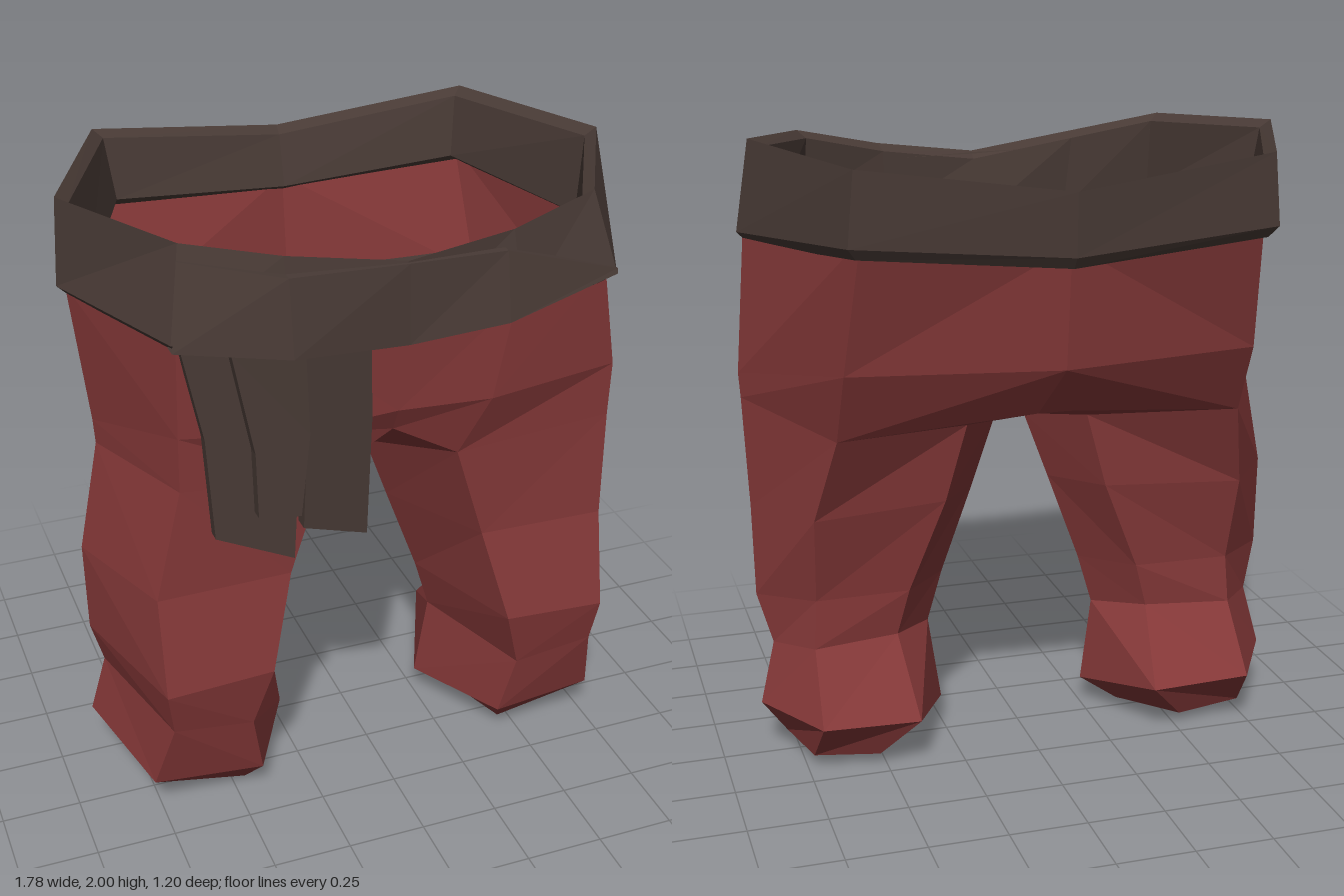
import * as THREE from 'three';

const cloth = new THREE.MeshStandardMaterial({ color: 0x843838, flatShading: true, side: THREE.DoubleSide });
const sash = new THREE.MeshStandardMaterial({ color: 0x483a35, flatShading: true, side: THREE.DoubleSide });

// Collects triangles and turns them into a faceted mesh
class Facets {
  constructor() { this.pos = []; }
  tri(a, b, c, flip = false) {
    for (const p of flip ? [a, c, b] : [a, b, c]) this.pos.push(...p);
  }
  // Strip between an upper and a lower row of points, running to the right as seen from outside
  strip(up, low, closed = false, flip = false) {
    const n = up.length;
    for (let i = 0; i < (closed ? n : n - 1); i++) {
      const j = (i + 1) % n;
      this.tri(low[i], low[j], up[j], flip);
      this.tri(low[i], up[j], up[i], flip);
    }
  }
  mesh(name, material) {
    const g = new THREE.BufferGeometry();
    g.setAttribute('position', new THREE.Float32BufferAttribute(this.pos, 3));
    g.computeVertexNormals();
    const m = new THREE.Mesh(g, material);
    m.name = name;
    return m;
  }
}

// Left half of the hips: front centre, front, front corner, side, back corner, back centre
const waist = [[0, 1.65, 0.5], [0.36, 1.68, 0.5], [0.66, 1.73, 0.47], [0.855, 1.73, 0.05], [0.61, 1.78, -0.52], [0, 1.74, -0.55]];
const hip = [[0, 1.37, 0.48], [0.3, 1.36, 0.49], [0.73, 1.38, 0.44], [0.89, 1.28, 0.05], [0.645, 1.36, -0.4], [0, 1.36, -0.51]];
const frontSeam = [0, 1.29, 0.44], backSeam = [0.05, 1.2, -0.39], backMid = [0, 1.2, -0.39];

// Leg rings, thigh to hem: front inner, front outer, outer, back outer, back inner, inner
const legRings = [
  [[0.22, 1.16, 0.43], [0.73, 1.2, 0.43], [0.885, 1.2, 0.05], [0.65, 1.13, -0.29], [0.2, 1.1, -0.12], [0.05, 1.06, 0.09]],
  [[0.32, 0.84, 0.42], [0.73, 0.84, 0.43], [0.87, 0.84, 0.05], [0.71, 0.85, -0.19], [0.27, 0.85, -0.11], [0.13, 0.84, 0.08]],
  [[0.4, 0.53, 0.48], [0.73, 0.52, 0.49], [0.865, 0.54, 0.05], [0.7, 0.56, -0.12], [0.39, 0.55, -0.09], [0.24, 0.54, 0.08]],
  [[0.46, 0.32, 0.44], [0.72, 0.36, 0.45], [0.82, 0.38, 0.02], [0.71, 0.4, -0.13], [0.43, 0.4, -0.08], [0.29, 0.37, 0.08]],
  [[0.42, 0.1, 0.4], [0.76, 0.12, 0.38], [0.87, 0.18, 0], [0.72, 0.19, -0.29], [0.4, 0.17, -0.27], [0.25, 0.09, 0.07]],
  [[0.46, 0.01, 0.32], [0.7, 0.045, 0.3], [0.785, 0.055, 0.03], [0.73, 0.045, -0.16], [0.52, 0.035, -0.19], [0.38, 0, 0.06]],
];

// One half of the trousers; the right side hangs slightly differently at the outer thigh
function trouserHalf(s) {
  const outerX = (x, y) => (s < 0 && x > 0.72 ? (y > 1 && y < 1.5 ? x - 0.07 : x + 0.015) : x);
  const place = (row) => row.map(([x, y, z]) => [s * outerX(x, y), y, z]);
  const flip = s < 0;
  const f = new Facets();
  const w = place(waist), h = place(hip), rings = legRings.map(place);
  const [seam] = place([backSeam]);
  const [fi, fo, o, bo, bi, inn] = rings[0];
  f.strip(w, h, false, flip);
  f.strip(h, [frontSeam, fi, fo, o, bo, seam], false, flip);
  f.tri(seam, backMid, h[5], flip);
  // Crotch
  const mid = [0, inn[1], inn[2]];
  f.tri(frontSeam, inn, fi, flip);
  f.tri(frontSeam, mid, inn, flip);
  f.tri(bi, seam, bo, flip);
  f.tri(inn, seam, bi, flip);
  f.tri(inn, backMid, seam, flip);
  f.tri(mid, backMid, inn, flip);
  // Leg, open at the hem
  for (let i = 0; i < rings.length - 1; i++) f.strip(rings[i], rings[i + 1], true, flip);
  return f.mesh(s > 0 ? 'leftTrouserHalf' : 'rightTrouserHalf', cloth);
}

// Waist sash: a closed band with thickness
function waistSash() {
  const top = [[0, 1.87, 0.54], [0.33, 1.91, 0.52], [0.61, 1.97, 0.46], [0.83, 2, 0.05], [0.63, 1.98, -0.54],
    [0, 1.9, -0.6], [-0.63, 1.98, -0.54], [-0.88, 2, 0.05], [-0.64, 1.985, 0.46], [-0.36, 1.93, 0.52]];
  const bottom = [[0, 1.64, 0.54], [0.35, 1.67, 0.56], [0.67, 1.73, 0.52], [0.875, 1.72, 0.05], [0.65, 1.76, -0.54],
    [0, 1.71, -0.595], [-0.65, 1.76, -0.54], [-0.895, 1.73, 0.05], [-0.69, 1.72, 0.53], [-0.36, 1.66, 0.57]];
  const inset = (row, k, dy) => row.map(([x, y, z]) => [x * k, y + dy, z * k]);
  const innerTop = inset(top, 0.955, -0.025), lip = inset(bottom, 0.96, -0.035), innerBottom = inset(bottom, 0.89, 0);
  const f = new Facets();
  const rows = [innerBottom, innerTop, top, bottom, lip, innerBottom];
  for (let i = 0; i < rows.length - 1; i++) f.strip(rows[i], rows[i + 1], true);
  return f.mesh('waistSash', sash);
}

// Second wrap crossing the front of the sash
function crossFold() {
  const up = [[-0.65, 1.94, 0.48], [-0.36, 1.88, 0.56], [0, 1.865, 0.55], [0.3, 1.86, 0.55], [0.67, 1.74, 0.525]];
  const low = [[-0.69, 1.7, 0.54], [-0.36, 1.65, 0.595], [0, 1.62, 0.56], [0.3, 1.65, 0.585], [0.67, 1.725, 0.53]];
  const back = (row) => row.map(([x, y, z]) => [x, y, z - 0.05]);
  const f = new Facets();
  f.strip(back(up), up);
  f.strip(up, low);
  f.strip(low, back(low));
  return f.mesh('crossFold', sash);
}

// Hanging cloth end: outline in x and y, z of its back face, thickness; it wraps back away from the knot
function hangingEnd(name, outline, z, depth) {
  const shape = new THREE.Shape(outline.map(([x, y]) => new THREE.Vector2(x, y)));
  const g = new THREE.ExtrudeGeometry(shape, { depth, bevelEnabled: false });
  const p = g.attributes.position;
  for (let i = 0; i < p.count; i++) p.setZ(i, p.getZ(i) + z - 0.15 * Math.abs(p.getX(i) + 0.35));
  g.computeVertexNormals();
  const m = new THREE.Mesh(g, sash);
  m.name = name;
  return m;
}

export function createModel() {
  const model = new THREE.Group();
  model.name = 'trousers';
  model.add(trouserHalf(1), trouserHalf(-1), waistSash(), crossFold());
  model.add(
    hangingEnd('outerHangingEnd', [[-0.66, 1.7], [-0.6, 1.4], [-0.58, 1.07], [-0.35, 0.975], [-0.34, 1.15], [-0.4, 1.66]], 0.505, 0.04),
    hangingEnd('middleHangingEnd', [[-0.53, 1.68], [-0.47, 1.36], [-0.465, 1.15], [-0.34, 1.14], [-0.31, 1.4], [-0.32, 1.65]], 0.54, 0.045),
    hangingEnd('innerHangingEnd', [[-0.37, 1.65], [-0.315, 1.4], [-0.33, 1.09], [-0.12, 1.01], [-0.105, 1.4], [-0.11, 1.63]], 0.525, 0.05),
  );
  return model;
}
